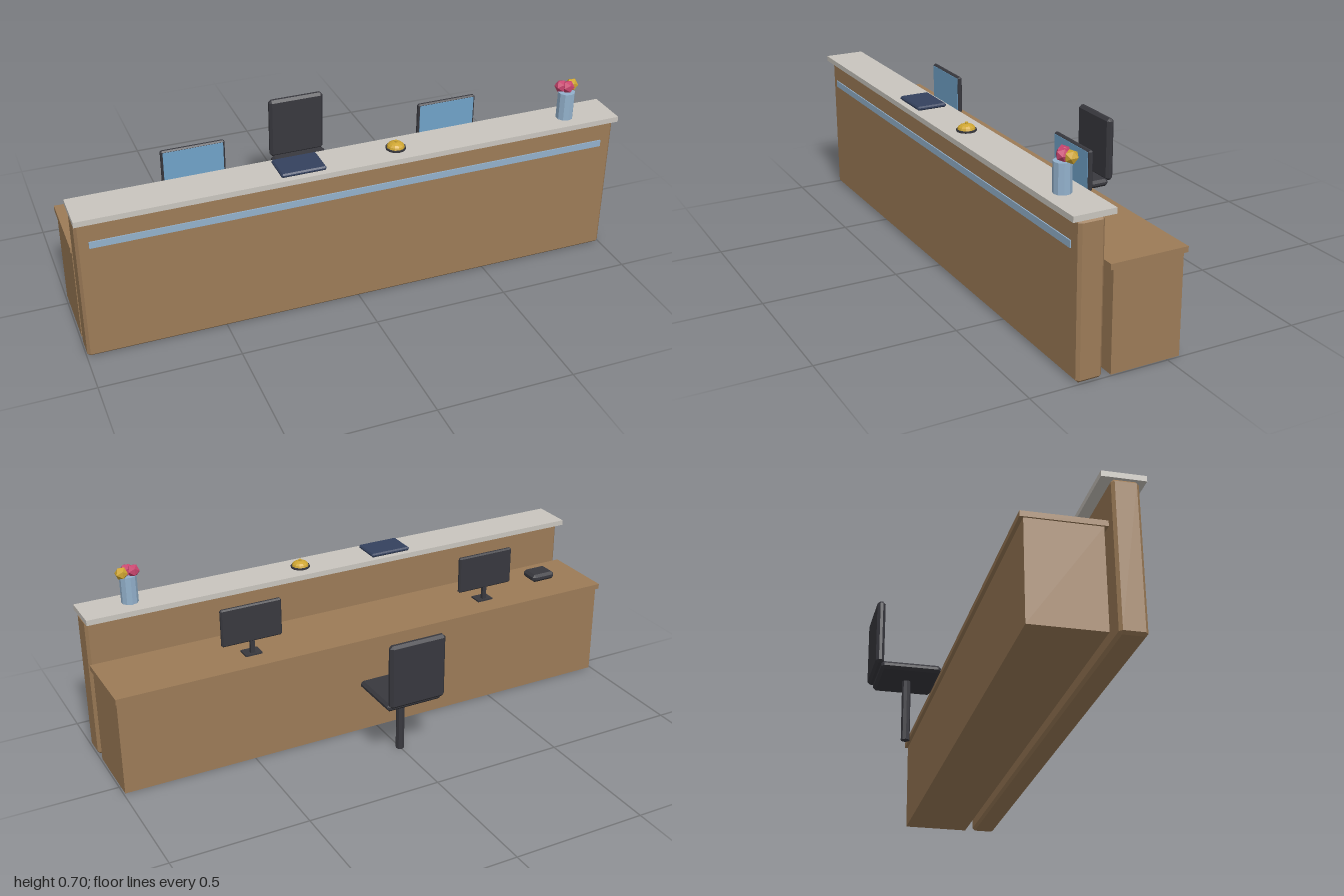
import * as THREE from 'three';
import { ConvexGeometry } from 'three/addons/geometries/ConvexGeometry.js';

const mat = (name, color) => Object.assign(new THREE.MeshStandardMaterial({ color, flatShading: true }), { name });

// Box with every edge cut at 45 degrees
function chamferBox(w, h, d, c) {
  const pts = [];
  for (const sx of [-1, 1]) for (const sy of [-1, 1]) for (const sz of [-1, 1]) {
    const x = w / 2, y = h / 2, z = d / 2;
    pts.push(
      new THREE.Vector3(sx * x, sy * (y - c), sz * (z - c)),
      new THREE.Vector3(sx * (x - c), sy * y, sz * (z - c)),
      new THREE.Vector3(sx * (x - c), sy * (y - c), sz * z));
  }
  return new ConvexGeometry(pts);
}

export function createModel() {
  const root = new THREE.Group();
  root.name = 'receptionDesk';
  const wood = mat('wood', 0x9c7b57);
  const stone = mat('stone', 0xc9c5be);
  const glass = mat('paleBlue', 0x93b1cc);
  const screenBlue = mat('screenBlue', 0x70a2c8);
  const dark = mat('darkPlastic', 0x38383e);
  const navy = mat('navy', 0x34415e);
  const gold = mat('gold', 0xcfa632);
  const pink = mat('pink', 0xc9456f);

  const add = (parent, name, geo, material, x, y, z) => {
    const m = new THREE.Mesh(geo, material);
    m.name = name;
    m.position.set(x, y, z);
    parent.add(m);
    return m;
  };
  // Box given by its limits on each axis, with an optional chamfer
  const box = (parent, name, material, [x0, x1], [y0, y1], [z0, z1], c = 0) => {
    const s = [x1 - x0, y1 - y0, z1 - z0];
    const geo = c ? chamferBox(...s, c) : new THREE.BoxGeometry(...s);
    return add(parent, name, geo, material, (x0 + x1) / 2, (y0 + y1) / 2, (z0 + z1) / 2);
  };
  const group = (name) => {
    const g = new THREE.Group();
    g.name = name;
    root.add(g);
    return g;
  };

  // Front counter
  const counter = group('counter');
  box(counter, 'frontPanel', wood, [-0.997, 0.997], [0, 0.54], [0.24, 0.333], 0.01);
  box(counter, 'counterTop', stone, [-1, 1], [0.54, 0.56], [0.205, 0.357]);
  box(counter, 'accentStrip', glass, [-0.953, 0.95], [0.437, 0.462], [0.329, 0.337]);

  // Work desk behind the counter
  const desk = group('desk');
  box(desk, 'deskBody', wood, [-0.994, 0.994], [0, 0.36], [-0.048, 0.209]);
  box(desk, 'deskTop', wood, [-1, 1], [0.36, 0.38], [-0.061, 0.222]);

  // Two monitors with their screens towards +z
  for (const x of [-0.515, 0.46]) {
    const g = group('monitor');
    box(g, 'monitorCase', dark, [x - 0.116, x + 0.116], [0.433, 0.576], [0.026, 0.043], 0.005);
    box(g, 'screen', screenBlue, [x - 0.109, x + 0.109], [0.44, 0.57], [0.04, 0.0445]);
    box(g, 'monitorNeck', dark, [x - 0.008, x + 0.008], [0.385, 0.437], [0.028, 0.041]);
    box(g, 'monitorBase', dark, [x - 0.032, x + 0.032], [0.38, 0.386], [0.019, 0.069]);
  }
  box(root, 'telephone', dark, [-0.874, -0.774], [0.38, 0.411], [0.066, 0.147], 0.01);

  // Chair
  const chair = group('chair');
  box(chair, 'seat', dark, [-0.11, 0.11], [0.227, 0.256], [-0.336, -0.121], 0.01);
  box(chair, 'backrest', dark, [-0.11, 0.11], [0.248, 0.493], [-0.357, -0.327], 0.01);
  add(chair, 'post', new THREE.CylinderGeometry(0.016, 0.016, 0.228, 8), dark, 0, 0.114, -0.228);

  // Things on the counter top
  box(root, 'folder', navy, [-0.29, -0.128], [0.56, 0.575], [0.224, 0.337], 0.005);
  const bell = group('bell');
  add(bell, 'bellBase', new THREE.CylinderGeometry(0.036, 0.036, 0.007, 12), dark, 0.15, 0.5635, 0.28);
  const dome = new THREE.SphereGeometry(0.032, 12, 4, 0, Math.PI * 2, 0, Math.PI / 2).scale(1, 0.6, 1);
  add(bell, 'bellDome', dome, gold, 0.15, 0.567, 0.28);
  add(bell, 'bellButton', new THREE.CylinderGeometry(0.006, 0.006, 0.006, 8), gold, 0.15, 0.588, 0.28);

  // Vase with three faceted blossoms
  const vase = group('vase');
  add(vase, 'vaseBody', new THREE.CylinderGeometry(0.031, 0.031, 0.103, 10), glass, 0.815, 0.6115, 0.286);
  for (const [x, y, z, m] of [[0.798, 0.682, 0.273, pink], [0.818, 0.682, 0.287, pink], [0.842, 0.68, 0.271, gold]]) {
    add(vase, 'blossom', new THREE.IcosahedronGeometry(0.024, 0), m, x, y, z);
  }
  return root;
}
